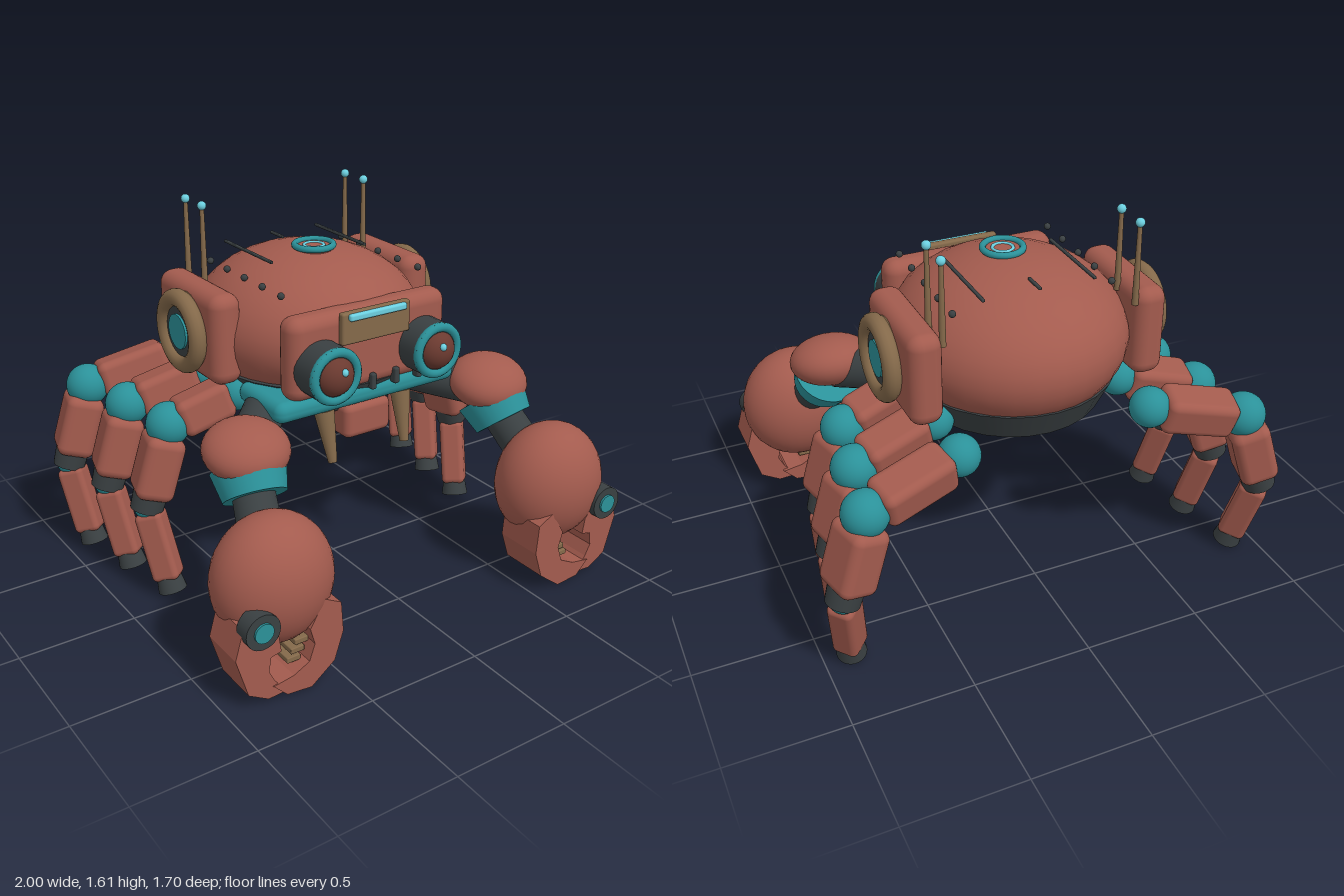
import * as THREE from 'three';
import { RoundedBoxGeometry } from 'three/addons/geometries/RoundedBoxGeometry.js';

const mat = (color) => new THREE.MeshStandardMaterial({ color });
const RED = mat(0xa35b4e), TEAL = mat(0x2b9199), DARK = mat(0x3a4042);
const TAN = mat(0x84694a), LIGHT = mat(0x6cd0e0), EYE = mat(0x6b3a30);
const V = (x, y, z) => new THREE.Vector3(x, y, z);
const UP = V(0, 1, 0);

function add(parent, name, geometry, material, x = 0, y = 0, z = 0) {
  const mesh = new THREE.Mesh(geometry, material);
  mesh.name = name;
  mesh.position.set(x, y, z);
  parent.add(mesh);
  return mesh;
}
const box = (w, h, d, r) => new RoundedBoxGeometry(w, h, d, 3, r);
const ball = (rx, ry = rx, rz = rx) => new THREE.SphereGeometry(1, 32, 20).scale(rx, ry, rz);
const cyl = (r1, r2, h) => new THREE.CylinderGeometry(r1, r2, h, 28);

// Place a geometry that runs along y between two points
function between(parent, name, a, b, make, material) {
  const dir = b.clone().sub(a);
  const mesh = add(parent, name, make(dir.length()), material);
  mesh.position.copy(a).add(b).multiplyScalar(0.5);
  mesh.quaternion.setFromUnitVectors(UP, dir.normalize());
  return mesh;
}

function group(parent, name) {
  const g = new THREE.Group();
  g.name = name;
  parent.add(g);
  return g;
}

function buildBody(root) {
  const g = group(root, 'body');
  // Domed shell, flattened behind the face plate
  const shell = ball(0.49, 0.325, 0.515);
  const p = shell.attributes.position;
  for (let i = 0; i < p.count; i++) p.setZ(i, Math.min(p.getZ(i), 0.42));
  add(g, 'shell', shell, RED, 0, 1.08, -0.2);
  add(g, 'chassis', cyl(0.45, 0.39, 0.13).scale(1, 1, 1.06), DARK, 0, 0.865, -0.19);
  add(g, 'frontBumper', box(0.9, 0.09, 0.33, 0.04), TEAL, 0, 0.88, 0.115);
  add(g, 'chin', box(0.23, 0.15, 0.16, 0.03), RED, 0, 0.76, 0.19);

  // Roof ring, seams and rivets
  add(g, 'roofRing', new THREE.TorusGeometry(0.082, 0.014, 12, 40).rotateX(Math.PI / 2), TEAL, 0, 1.412, -0.145);
  add(g, 'roofInnerRing', new THREE.TorusGeometry(0.042, 0.007, 10, 32).rotateX(Math.PI / 2), LIGHT, 0, 1.41, -0.145);
  add(g, 'roofCap', cyl(0.08, 0.08, 0.02), RED, 0, 1.4, -0.145);
  add(g, 'roofSeam', box(0.014, 0.012, 0.1, 0.004), DARK, 0, 1.385, -0.44);
  for (const s of [-1, 1]) {
    add(g, 'roofSeam', box(0.014, 0.012, 0.39, 0.004), DARK, s * 0.235, 1.383, -0.295);
    for (let i = 0; i < 5; i++) {
      add(g, 'rivet', new THREE.SphereGeometry(0.015, 12, 8), DARK, s * 0.34, 1.325, 0.135 - i * 0.1425);
    }
  }
}

function buildFace(root) {
  const g = group(root, 'face');
  add(g, 'facePlate', box(0.775, 0.355, 0.125, 0.055), RED, 0, 1.087, 0.222);
  add(g, 'browPanel', box(0.335, 0.135, 0.035, 0.01), TAN, 0, 1.198, 0.297);
  add(g, 'browLight', box(0.28, 0.03, 0.025, 0.01), LIGHT, 0, 1.247, 0.32);
  for (let i = -2; i <= 2; i++) {
    add(g, 'mouthSlot', box(0.026, 0.07, 0.04, 0.008), DARK, i * 0.117, 0.938, 0.285);
  }
  for (const s of [-1, 1]) {
    const x = s * 0.253;
    add(g, 'eyeHousing', cyl(0.118, 0.118, 0.13).rotateX(Math.PI / 2), DARK, x, 1.05, 0.335);
    add(g, 'eyeRing', new THREE.TorusGeometry(0.1, 0.02, 12, 40), TEAL, x, 1.05, 0.392);
    add(g, 'eyeball', ball(0.085, 0.085, 0.075), EYE, x, 1.05, 0.375);
    add(g, 'eyeGlint', ball(0.016), LIGHT, s * 0.243, 1.08, 0.44);
    between(g, 'fang', V(s * 0.185, 0.61, 0.27), V(s * 0.195, 0.83, 0.22), (h) => cyl(0.044, 0.019, h), TAN);
  }
}

function buildPod(root, s) {
  const g = group(root, 'sidePod');
  const disc = (r, h) => cyl(r, r, h).rotateZ(Math.PI / 2);
  add(g, 'podBox', box(0.14, 0.39, 0.505, 0.055), RED, s * 0.48, 1.105, -0.288);
  add(g, 'podRing', new THREE.TorusGeometry(0.142, 0.038, 14, 48).rotateY(Math.PI / 2), TAN, s * 0.58, 1.105, -0.27);
  add(g, 'podRingBase', disc(0.165, 0.05), TAN, s * 0.555, 1.105, -0.27);
  add(g, 'podWell', disc(0.115, 0.05), DARK, s * 0.565, 1.105, -0.27);
  add(g, 'podLens', disc(0.075, 0.04), TEAL, s * 0.58, 1.105, -0.27);
  for (const z of [-0.363, -0.507]) {
    add(g, 'antenna', cyl(0.009, 0.014, 0.35), TAN, s * 0.41, 1.415, z);
    add(g, 'antennaTip', ball(0.019), LIGHT, s * 0.41, 1.592, z);
  }
}

function buildClawArm(root, s) {
  const g = group(root, 'clawArm');
  between(g, 'upperArm', V(s * 0.35, 0.83, 0.03), V(s * 0.6, 0.77, 0.28), (h) => cyl(0.09, 0.09, h), DARK);
  add(g, 'shoulder', ball(0.18, 0.11, 0.168), RED, s * 0.615, 0.8, 0.305).rotation.x = 0.25;
  between(g, 'elbowBand', V(s * 0.62, 0.735, 0.325), V(s * 0.635, 0.64, 0.4), (h) => cyl(0.13, 0.155, h), TEAL);
  between(g, 'forearm', V(s * 0.625, 0.7, 0.35), V(s * 0.695, 0.46, 0.57), (h) => cyl(0.09, 0.085, h), DARK);
  add(g, 'hand', ball(0.25, 0.265, 0.208), RED, s * 0.705, 0.425, 0.628);

  // Two curved pincers closing below the hand
  const jaw = (name, pts, z, depth) => {
    const shape = new THREE.Shape(pts.map(([x, y]) => new THREE.Vector2(s * x, y)));
    add(g, name, new THREE.ExtrudeGeometry(shape, { depth, bevelEnabled: false }), RED, 0, 0, z);
  };
  jaw('innerPincer', [[0.58, 0.37], [0.505, 0.33], [0.495, 0.2], [0.535, 0.08], [0.64, 0],
    [0.75, 0.01], [0.81, 0.07], [0.72, 0.085], [0.65, 0.12], [0.625, 0.19], [0.645, 0.26]], 0.585, 0.215);
  jaw('outerPincer', [[0.84, 0.36], [0.93, 0.36], [0.965, 0.24], [0.915, 0.07], [0.83, 0.02],
    [0.75, 0.025], [0.8, 0.09], [0.825, 0.14], [0.815, 0.2], [0.77, 0.21], [0.78, 0.28]], 0.6, 0.195);
  for (let i = 0; i < 3; i++) {
    add(g, 'tooth', box(0.06, 0.024, 0.13, 0.004), TAN, s * (0.655 + i * 0.018), 0.19 - i * 0.035, 0.69);
  }
  add(g, 'pincerPivot', cyl(0.073, 0.073, 0.07).rotateX(Math.PI / 2), DARK, s * 0.865, 0.347, 0.795);
  add(g, 'pivotCap', cyl(0.04, 0.04, 0.02).rotateX(Math.PI / 2), TEAL, s * 0.865, 0.347, 0.829);
}

function buildLeg(root, s, kneeX, kneeZ, hipZ) {
  const g = group(root, 'walkingLeg');
  const hip = V(s * 0.415, 0.85, hipZ), knee = V(s * kneeX, 0.755, kneeZ);
  const ankle = V(s * (kneeX + 0.11), 0.4, kneeZ - 0.015);
  const toe = V(s * (kneeX + 0.065), 0.025, kneeZ + 0.09);
  const at = (a, b, t) => a.clone().lerp(b, t);
  add(g, 'hipJoint', ball(0.085), TEAL, ...hip);
  between(g, 'thigh', at(hip, knee, 0.12), at(hip, knee, 0.87), (h) => box(0.16, h, 0.17, 0.035), RED);
  add(g, 'kneeJoint', ball(0.094), TEAL, ...knee);
  between(g, 'shin', at(knee, ankle, 0.12), at(knee, ankle, 0.87), (h) => box(0.165, h, 0.2, 0.04), RED);
  between(g, 'ankle', at(knee, ankle, 0.82), at(knee, ankle, 1.05), (h) => cyl(0.07, 0.075, h), DARK);
  add(g, 'ankleJoint', ball(0.06), TEAL, ...ankle);
  between(g, 'foot', at(ankle, toe, 0.07), at(ankle, toe, 0.86), (h) => box(0.11, h, 0.12, 0.025), RED);
  between(g, 'footTip', at(ankle, toe, 0.82), toe, (h) => cyl(0.062, 0.052, h), DARK);
}

export function createModel() {
  const root = new THREE.Group();
  root.name = 'crabRobot';
  buildBody(root);
  buildFace(root);
  for (const s of [-1, 1]) {
    buildPod(root, s);
    buildClawArm(root, s);
    buildLeg(root, s, 0.715, -0.165, -0.12);
    buildLeg(root, s, 0.765, -0.45, -0.395);
    buildLeg(root, s, 0.82, -0.74, -0.665);
  }
  return root;
}
